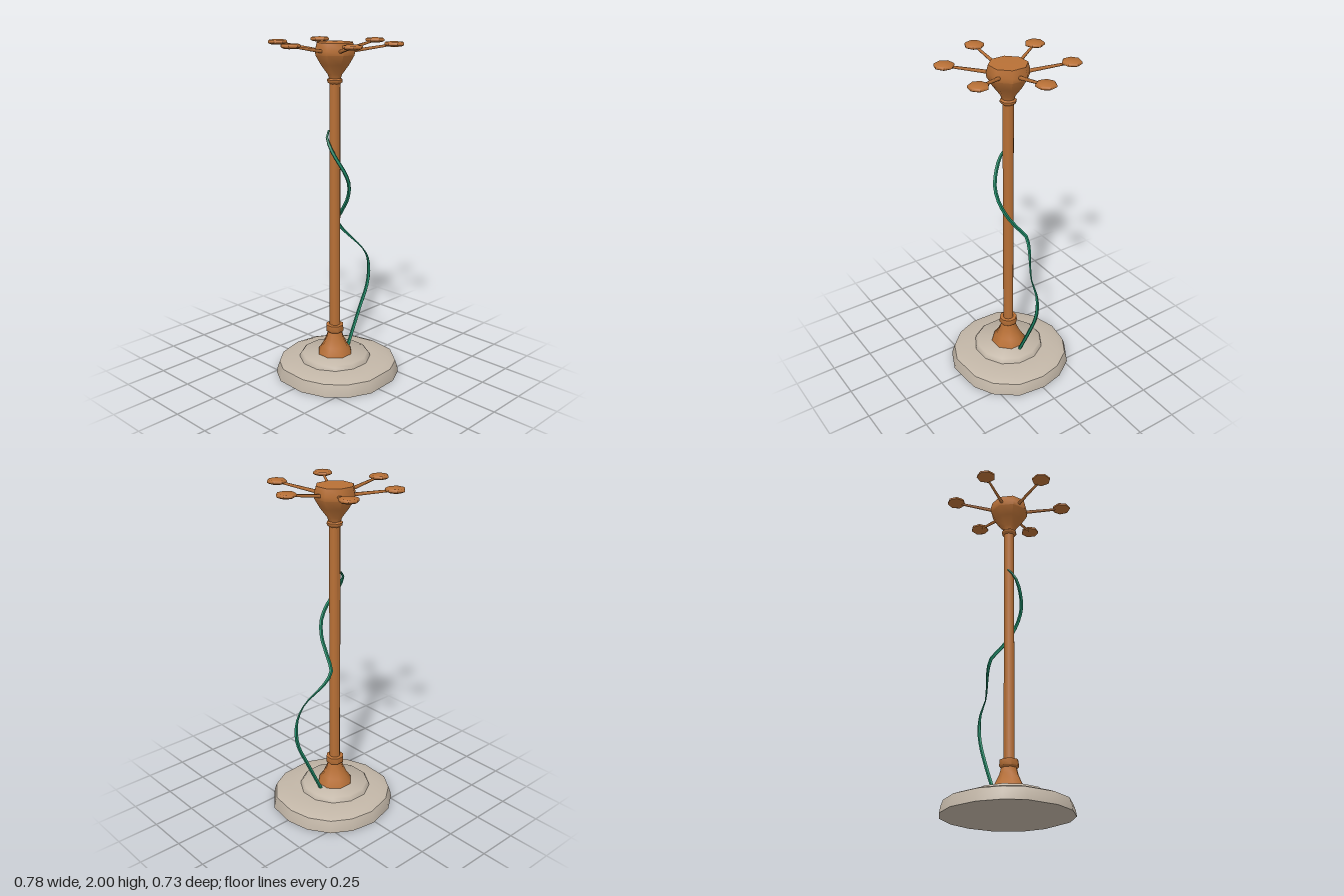
import * as THREE from 'three';
import { toCreasedNormals } from 'three/addons/utils/BufferGeometryUtils.js';

const copper = new THREE.MeshStandardMaterial({ color: 0xb87036 });
copper.name = 'copper';
const stone = new THREE.MeshStandardMaterial({ color: 0xc2b6a7 });
stone.name = 'stone';
const green = new THREE.MeshStandardMaterial({ color: 0x1f8a68, side: THREE.DoubleSide });
green.name = 'vineGreen';

function mesh(name, geometry, material) {
  const m = new THREE.Mesh(geometry, material);
  m.name = name;
  return m;
}

// Faceted turned part from [radius, height] pairs, bottom to top
function turned(name, profile, sides, material, crease = 0.85, start = Math.PI / sides) {
  const pts = profile.map(([r, y]) => new THREE.Vector2(r, y));
  return mesh(name, toCreasedNormals(new THREE.LatheGeometry(pts, sides, start), crease), material);
}

// Stack scaled copies of an uneven outline; rings are [scale, height]
function loft(outline, cx, rings) {
  const n = outline.length, pos = [], idx = [];
  for (const [s, y] of rings) {
    for (const [x, z] of outline) pos.push(cx + (x - cx) * s, y, z * s);
  }
  for (let i = 0; i < rings.length - 1; i++) {
    for (let j = 0; j < n; j++) {
      const a = i * n + j, b = i * n + (j + 1) % n;
      idx.push(a, a + n, b, b, a + n, b + n);
    }
  }
  const g = new THREE.BufferGeometry();
  g.setAttribute('position', new THREE.Float32BufferAttribute(pos, 3));
  g.setIndex(idx);
  return toCreasedNormals(g, 0.85);
}

export function createModel() {
  const model = new THREE.Group();
  model.name = 'lampStand';

  // Rough stone foot
  const outline = [
    [0.385, -0.01], [0.362, 0.16], [0.26, 0.29], [0.14, 0.352], [-0.07, 0.364],
    [-0.2, 0.305], [-0.295, 0.2], [-0.345, 0.06], [-0.335, -0.13], [-0.27, -0.235],
    [-0.16, -0.32], [0.01, -0.365], [0.16, -0.34], [0.275, -0.27], [0.355, -0.15],
  ];
  model.add(mesh('base', loft(outline, 0.02,
    [[0, 0], [1, 0], [0.985, 0.035], [0.95, 0.072], [0.84, 0.088], [0.6, 0.097], [0, 0.099]]), stone));
  model.add(turned('baseStep', [[0.218, 0.09], [0.212, 0.112], [0.2, 0.125], [0, 0.126]], 12, stone));

  // Flared pole foot, pole and head
  model.add(turned('poleFoot',
    [[0.108, 0.12], [0.105, 0.135], [0.078, 0.175], [0.055, 0.225], [0.045, 0.262],
      [0.056, 0.272], [0.054, 0.308], [0.03, 0.31]], 8, copper));
  model.add(turned('pole', [[0.032, 0.3], [0.032, 1.79]], 10, copper));
  model.add(turned('head',
    [[0.03, 1.762], [0.046, 1.775], [0.047, 1.787], [0.036, 1.795], [0.044, 1.818],
      [0.085, 1.872], [0.117, 1.925], [0.119, 1.95], [0.108, 1.993], [0, 1.995]], 8, copper));

  // Six arms, each ending in a small faceted pad
  for (let i = 0; i < 6; i++) {
    const arm = new THREE.Group();
    arm.name = 'arm' + (i + 1);
    const from = new THREE.Vector3(0.09, 1.945, 0), to = new THREE.Vector3(0.32, 1.985, 0);
    const rod = mesh('armRod', new THREE.CylinderGeometry(0.007, 0.011, from.distanceTo(to), 6), copper);
    rod.position.copy(from).add(to).multiplyScalar(0.5);
    rod.quaternion.setFromUnitVectors(new THREE.Vector3(0, 1, 0), to.clone().sub(from).normalize());
    const pad = turned('armPad',
      [[0, 1.975], [0.04, 1.976], [0.056, 1.984], [0.056, 1.994], [0.05, 2], [0, 2]], 7, copper);
    pad.position.x = 0.335;
    arm.add(rod, pad);
    arm.rotation.y = i * Math.PI / 3;
    model.add(arm);
  }

  // Vine curling up around the pole
  const path = new THREE.CatmullRomCurve3([
    [0.12, 0.12, -0.005], [0.23, 0.35, -0.005], [0.288, 0.48, 0], [0.304, 0.57, 0],
    [0.293, 0.66, 0], [0.24, 0.74, 0], [0.13, 0.87, -0.06], [0.09, 0.93, -0.068],
    [0.07, 1.01, -0.01], [0.058, 1.1, 0.05], [0.03, 1.19, 0.085], [-0.01, 1.27, 0.085],
    [-0.045, 1.35, 0.052], [-0.06, 1.42, 0.015], [-0.05, 1.47, -0.015], [-0.025, 1.5, -0.025],
  ].map((p) => new THREE.Vector3(...p)));
  const steps = 36, sides = 5;
  const vine = new THREE.TubeGeometry(path, steps, 0.011, sides);
  const pos = vine.attributes.position, v = new THREE.Vector3();
  for (let i = 0; i <= steps; i++) {
    const c = path.getPointAt(i / steps);
    // Thin where the loose strand turns toward the pole, and at the tip
    const s = Math.min(0.35 + Math.abs(c.y - 0.74) * 4, 1, 0.5 + (1.5 - c.y) * 5);
    for (let j = 0; j <= sides; j++) {
      const k = i * (sides + 1) + j;
      v.fromBufferAttribute(pos, k).sub(c).multiplyScalar(s).add(c);
      pos.setXYZ(k, v.x, v.y, v.z);
    }
  }
  model.add(mesh('vine', toCreasedNormals(vine, 0.85), green));

  return model;
}
